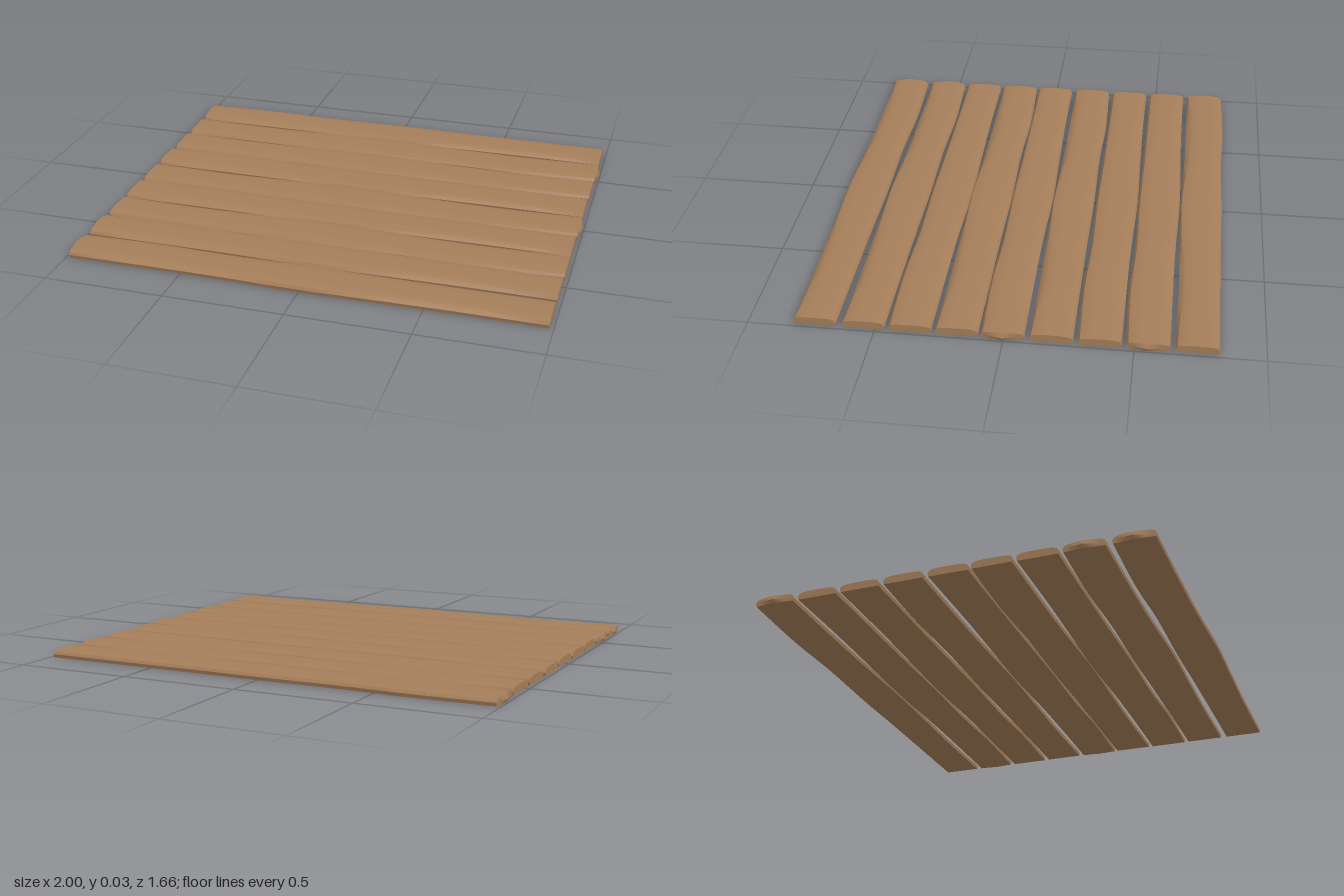
import * as THREE from 'three';
import { toCreasedNormals } from 'three/addons/utils/BufferGeometryUtils.js';

const wood = new THREE.MeshStandardMaterial({ color: 0xa57e5a });
wood.name = 'brown wood';

// Waves along the plank, all sharing the same stations in x
const stations = [-0.985, -0.65, -0.35, 0, 0.3, 0.62, 0.983];
const wave = (values) => new THREE.SplineCurve(stations.map((x, i) => new THREE.Vector2(x, values[i])));
const backEdge = wave([0.083, 0.092, 0.084, 0.088, 0.085, 0.084, 0.084]);
const frontEdge = wave([0.085, 0.083, 0.084, 0.093, 0.088, 0.083, 0.084]);
const frontBevel = wave([0.005, 0.015, 0.012, 0.006, 0.009, 0.013, 0.006]);

// Across the plank: fraction of width, top height and how far a worn end sticks out
const across = [0, 0.1, 0.28, 0.5, 0.72, 0.9, 1];
const crown = [0.025, 0.03, 0.032, 0.032, 0.032, 0.03, 0.025];
const wornEnd = [0, 0.001, 0.009, 0.015, 0.004, 0.001, 0];
const SEGMENTS = 36, MID = 0.014, LAST = across.length - 1;

function plankGeometry(worn) {
  const positions = [], index = [];
  const push = (x, y, z) => positions.push(x, y, z) / 3 - 1;
  const quad = (a, b, c, d) => index.push(a, b, c, a, c, d);
  const rings = [];

  // Cross-sections: crowned top, front side, flat bottom, back side
  for (let i = 0; i <= SEGMENTS; i++) {
    const t = i / SEGMENTS;
    const { x, y: back } = backEdge.getPoint(t);
    const front = frontEdge.getPoint(t).y;
    const bevel = frontBevel.getPoint(t).y;
    const endX = (j) => x - (worn && i === 0 ? wornEnd[j] * 0.5 : 0);
    const top = across.map((u, j) =>
      push(endX(j), crown[j], THREE.MathUtils.lerp(-back + 0.008, front - bevel, u)));
    const midFront = push(x, MID, front);
    const bottom = across.map((u, j) =>
      push(endX(j), 0, THREE.MathUtils.lerp(-back + 0.003, front - 0.003, u)));
    const midBack = push(x, MID, -back);
    rings.push({ top, bottom, midBack, midFront, x, back, front,
      loop: [...top, midFront, ...bottom.slice().reverse(), midBack] });
  }
  for (let i = 0; i < SEGMENTS; i++) {
    const a = rings[i].loop, b = rings[i + 1].loop;
    a.forEach((_, k) => {
      const n = (k + 1) % a.length;
      quad(a[k], a[n], b[n], b[k]);
    });
  }

  // Ends, with a ragged ridge at half height on the worn one
  for (const side of [-1, 1]) {
    const r = rings[side < 0 ? 0 : SEGMENTS];
    const mid = across.map((u, j) => {
      if (j === 0) return r.midBack;
      if (j === LAST) return r.midFront;
      const out = worn && side < 0 ? wornEnd[j] : 0;
      return push(r.x + side * out, MID, THREE.MathUtils.lerp(-r.back, r.front, u));
    });
    for (let j = 0; j < LAST; j++) {
      for (const [hi, lo] of [[r.top, mid], [mid, r.bottom]]) {
        if (side > 0) quad(hi[j], hi[j + 1], lo[j + 1], lo[j]);
        else quad(hi[j], lo[j], lo[j + 1], hi[j + 1]);
      }
    }
  }

  const geometry = new THREE.BufferGeometry();
  geometry.setAttribute('position', new THREE.Float32BufferAttribute(positions, 3));
  geometry.setIndex(index);
  return toCreasedNormals(geometry, 0.5);
}

export function createModel() {
  const group = new THREE.Group();
  group.name = 'plankFloor';
  const wornPlank = plankGeometry(true), cutPlank = plankGeometry(false);

  // Planks from back to front: centre z, turned half around, worn end
  const layout = [
    [-0.74, false, true], [-0.552, true, true], [-0.368, true, false],
    [-0.183, false, false], [0.004, true, true], [0.181, false, false],
    [0.364, true, false], [0.546, false, true], [0.737, false, true],
  ];
  layout.forEach(([z, turned, worn], i) => {
    const plank = new THREE.Mesh(worn ? wornPlank : cutPlank, wood);
    plank.name = `plank${i + 1}`;
    plank.position.z = z;
    if (turned) plank.rotation.y = Math.PI;
    group.add(plank);
  });
  return group;
}
